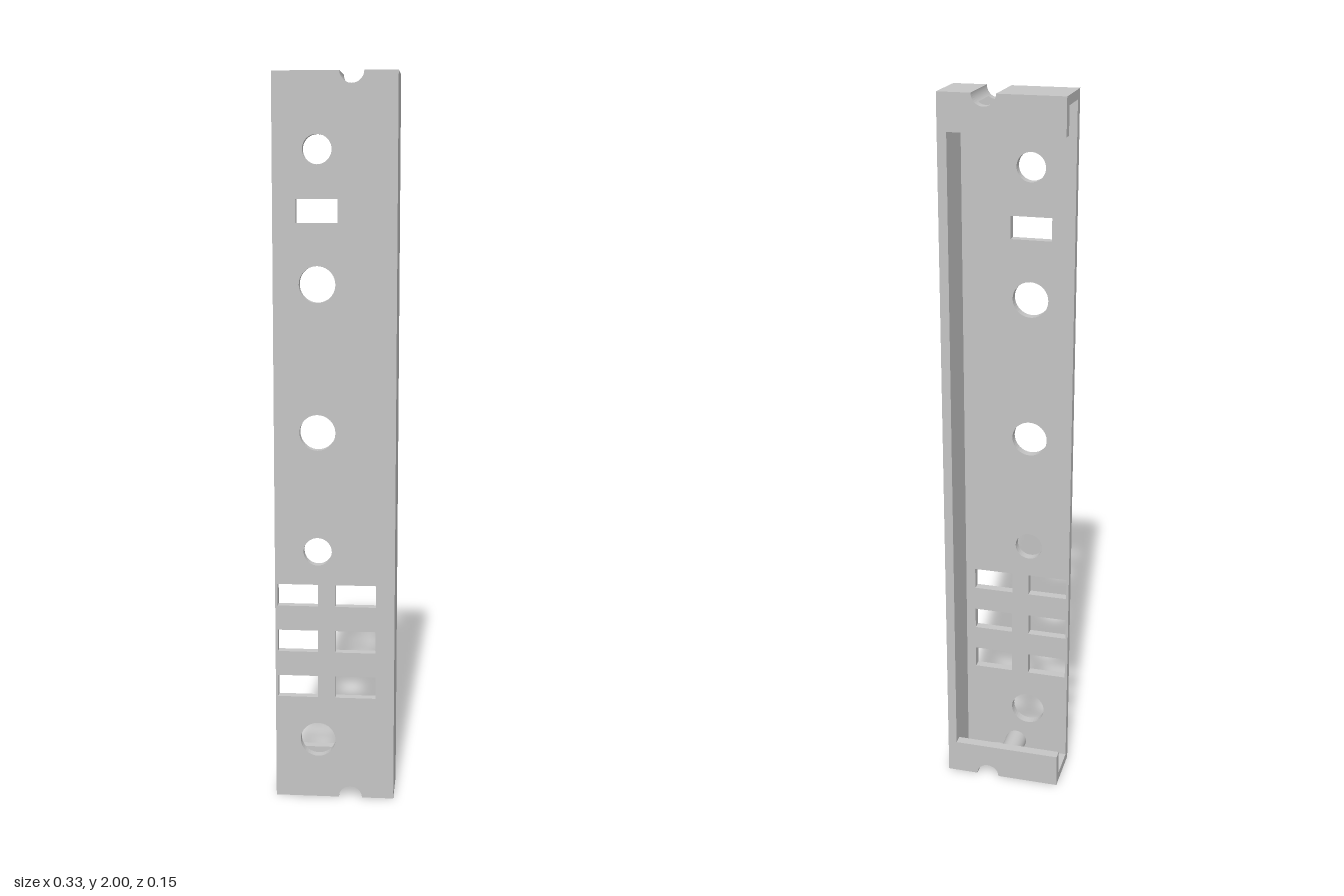
import * as THREE from 'three';

const W = 0.166, D = 0.075, H = 2, T = 0.025; // half width, half depth, height, wall
const PANEL_BACK = 0.05, LIP_FRONT = -0.047, LIP = 0.098;
const GX = 0.0445, GR = 0.0325; // cord groove centre and radius

export function createModel() {
  const group = new THREE.Group();
  const grey = new THREE.MeshStandardMaterial({ color: 0xc5c5c5 });
  grey.name = 'light grey plastic';

  const add = (name, geometry) => {
    const mesh = new THREE.Mesh(geometry, grey);
    mesh.name = name;
    group.add(mesh);
  };
  const extrude = (shape, z0, z1) =>
    new THREE.ExtrudeGeometry(shape, { depth: z1 - z0, bevelEnabled: false, curveSegments: 20 }).translate(0, 0, z0);

  // Front panel with a half-round notch at each end
  const panel = new THREE.Shape();
  panel.moveTo(-W, 0);
  panel.lineTo(GX - GR, 0);
  panel.absarc(GX, 0, GR, Math.PI, 0, true);
  panel.lineTo(W, 0);
  panel.lineTo(W, H);
  panel.lineTo(GX + GR, H);
  panel.absarc(GX, H, GR, 0, -Math.PI, true);
  panel.lineTo(-W, H);
  panel.closePath();

  // Round holes
  for (const [y, r] of [[1.8, 0.039], [1.447, 0.049], [1.047, 0.049], [0.715, 0.039], [0.17, 0.049]]) {
    const hole = new THREE.Path();
    hole.absarc(-0.047, y, r, 0, Math.PI * 2, false);
    panel.holes.push(hole);
  }
  // Rectangular slots
  const slot = (x, y) => {
    const w = 0.056, h = 0.031;
    const pts = [[-w, -h], [w, -h], [w, h], [-w, h]].map(([a, b]) => new THREE.Vector2(x + a, y + b));
    panel.holes.push(new THREE.Path(pts));
  };
  slot(-0.048, 1.64);
  for (const y of [0.59, 0.458, 0.326]) for (const x of [-0.103, 0.058]) slot(x, y);
  add('frontPanel', extrude(panel, PANEL_BACK, D));

  // Side wall on one side only; the other side and the back stay open
  const wall = new THREE.BoxGeometry(T, H - 2 * T, PANEL_BACK + D);
  add('sideWall', wall.translate(W - T / 2, H / 2, (PANEL_BACK - D) / 2));

  // End caps: the top one mirrors the bottom one
  for (const top of [false, true]) {
    const fy = (y) => (top ? H - y : y);
    const end = top ? 'top' : 'bottom';
    const a = Math.asin(T / GR);
    const arc = (from, to) => Array.from({ length: 21 }, (_, i) => {
      const t = from + (to - from) * i / 20;
      return [GX + GR * Math.cos(t), GR * Math.sin(t)];
    });
    const profile = (pts) => new THREE.Shape(pts.map(([x, y]) => new THREE.Vector2(x, fy(y))));

    // Back lip with notch
    add(end + 'Lip', extrude(profile([[-W, 0], ...arc(Math.PI, 0), [W, 0], [W, LIP], [-W, LIP]]), -D, LIP_FRONT));

    // End wall, opened where the groove cuts through it
    add(end + 'WallRight', extrude(profile([[-W, 0], ...arc(Math.PI, Math.PI - a), [-W, T]]), LIP_FRONT, PANEL_BACK));
    add(end + 'WallLeft', extrude(profile([...arc(a, 0), [W, 0], [W, T]]), LIP_FRONT, PANEL_BACK));

    // Round post between panel and lip
    const post = new THREE.CylinderGeometry(0.031, 0.031, PANEL_BACK - LIP_FRONT, 32, 1, true);
    add(end + 'Post', post.rotateX(Math.PI / 2).translate(-0.011, fy(0.052), (PANEL_BACK + LIP_FRONT) / 2));
  }
  return group;
}
